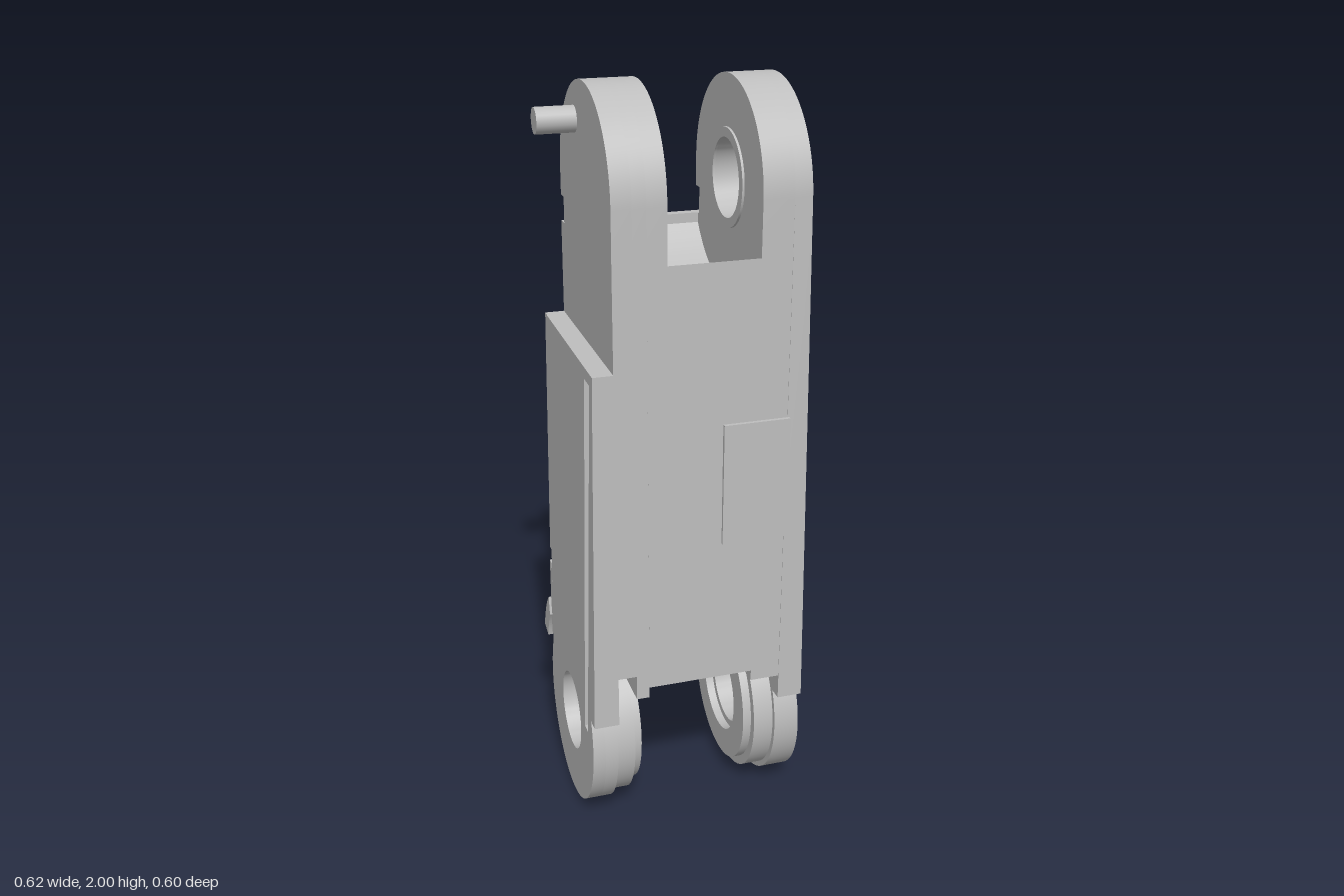
import * as THREE from 'three';
import { toCreasedNormals } from 'three/addons/utils/BufferGeometryUtils.js';

const Z = 0.035, TOP = 1.745, LOW = 0.25; // pivot axes in the side profile

export function createModel() {
  const model = new THREE.Group();
  model.name = 'armLink';
  const grey = new THREE.MeshStandardMaterial({ color: 0xbebebe });
  grey.name = 'light grey';

  const add = (name, geo) => {
    const m = new THREE.Mesh(geo, grey);
    m.name = name;
    model.add(m);
    return m;
  };
  const poly = (pts) => new THREE.Shape(pts.map(([a, b]) => new THREE.Vector2(a, b)));
  const circle = (y, r) => new THREE.Shape().absarc(Z, y, r, 0, Math.PI * 2, false);

  // Side profile (z, y) extruded from x0 to x1; taper leans the outer face inward with height
  const slab = (name, shape, x0, x1, taper = 0) => {
    const geo = new THREE.ExtrudeGeometry(shape, { depth: x1 - x0, bevelEnabled: false, curveSegments: 32 });
    geo.rotateY(-Math.PI / 2).translate(x1, 0, 0);
    if (taper) {
      const p = geo.attributes.position;
      const outer = taper < 0 ? x1 : x0;
      for (let i = 0; i < p.count; i++) {
        if (Math.abs(p.getX(i) - outer) < 1e-4) p.setX(i, p.getX(i) + taper * p.getY(i));
      }
    }
    return add(name, toCreasedNormals(geo, 0.5));
  };
  // Outline (x, y) extruded from z0 to z1
  const panel = (name, pts, z0, z1) => {
    const geo = new THREE.ExtrudeGeometry(poly(pts), { depth: z1 - z0, bevelEnabled: false });
    return add(name, geo.translate(0, 0, z0));
  };

  const slot = () => poly([[0.21, 1.25], [0.255, 1.25], [0.262, 1.32], [0.217, 1.32]]);

  // Body slice: either a lug or a concave saddle on top, and a saddle or flat cut below
  const profile = (lug, bottom, holeRadius) => {
    const s = new THREE.Shape();
    s.moveTo(0.298, bottom ?? 0.46);
    s.lineTo(0.29, 1.607);
    if (lug) {
      s.lineTo(0.29, TOP);
      s.absarc(Z, TOP, 0.255, 0, Math.PI, false);
      s.lineTo(-0.22, 1.67);
      s.lineTo(-0.19, 1.67);
      s.lineTo(-0.19, 1.6);
      s.lineTo(-0.2, 1.6);
    } else {
      s.absarc(Z, TOP, 0.29, -0.5, -2.516, true);
    }
    if (bottom) s.lineTo(-0.2, bottom);
    else s.absarc(Z, LOW, 0.29, 2.516, Math.PI / 4, true);
    s.closePath();
    s.holes.push(slot());
    if (holeRadius) s.holes.push(circle(TOP, holeRadius));
    return s;
  };

  slab('bodyCore', profile(false), -0.08, 0.155);
  slab('leftLugInner', profile(true, null, 0.055), -0.13, -0.08);
  slab('leftLugMiddle', profile(true, 0.43), -0.165, -0.13);
  slab('leftLugOuter', profile(true, 0.5), -0.215, -0.165);
  slab('rightLugInner', profile(true, 0.43, 0.1), 0.155, 0.235);

  // Closed side plate with the upper and lower lug outlines
  const closedSide = new THREE.Shape();
  closedSide.moveTo(0.3, 0.36);
  closedSide.lineTo(0.29, TOP);
  closedSide.absarc(Z, TOP, 0.255, 0, Math.PI, false);
  closedSide.lineTo(-0.22, 1.67);
  closedSide.lineTo(-0.085, 1.67);
  closedSide.lineTo(-0.05, 1.62);
  closedSide.absarc(Z, LOW, 0.25, 1.918, Math.PI * 2 + 0.449, false);
  closedSide.closePath();
  closedSide.holes.push(poly([[0.21, 1.25], [0.255, 1.25], [0.28, 1.62], [0.25, 1.65]]));
  slab('closedSidePlate', closedSide, 0.235, 0.309, -0.0167);

  // Diagonal strip and rear edge beside the recessed channel
  slab('diagonalStrip', poly([[-0.17, 1.62], [-0.2, 1.62], [-0.115, 0.5], [-0.115, 0.27], [-0.085, 0.4], [-0.07, 0.5]]), 0.235, 0.303, -0.0167);
  slab('rearEdge', poly([[-0.2, 1.5], [-0.13, 0.53], [-0.13, 0.23], [-0.2, 0.23]]), 0.235, 0.3, -0.0167);

  // Open side plate: inner layer, then outer layer with a long groove
  const openSide = (hole) => {
    const s = new THREE.Shape();
    s.moveTo(0.3, 0.36);
    s.lineTo(0.293, 1.35);
    s.lineTo(-0.2, 1.35);
    s.absarc(Z, LOW, 0.25, 2.79, Math.PI * 2 + 0.449, false);
    s.closePath();
    s.holes.push(hole, circle(LOW, 0.11));
    return s;
  };
  slab('openSidePlateInner', openSide(slot()), -0.25, -0.215);
  slab('openSidePlateOuter', openSide(poly([[0.265, 1.32], [0.215, 1.32], [0.19, 0.3], [0.225, 0.3]])), -0.288, -0.25, 0.015);

  // Stepped bearing rings on the inner side of the lower lugs
  const ring = (name, y, r, hole, x0, x1) => {
    const s = circle(y, r);
    s.holes.push(circle(y, hole));
    slab(name, s, x0, x1);
  };
  for (const [r, hole, l0, l1, r0, r1] of [
    [0.235, 0.11, -0.215, -0.163, 0.18, 0.235],
    [0.21, 0.13, -0.163, -0.138, 0.157, 0.18],
  ]) {
    ring('lowerRingRight', LOW, r, hole, l0, l1);
    ring('lowerRingLeft', LOW, r, hole, r0, r1);
  }
  ring('upperCollarRight', TOP, 0.085, 0.055, -0.08, -0.074);
  ring('upperCollarLeft', TOP, 0.125, 0.1, 0.149, 0.155);

  // Pin caps and side peg
  const rod = (name, r, y, z, x0, x1) => {
    const geo = new THREE.CylinderGeometry(r, r, x1 - x0, 24).rotateZ(Math.PI / 2);
    add(name, geo).position.set((x0 + x1) / 2, y, z);
  };
  rod('upperPinCap', 0.11, TOP + 0.005, Z, 0.25, 0.293);
  rod('lowerPinCap', 0.11, LOW, Z, 0.27, 0.308);
  rod('sidePeg', 0.033, 1.895, -0.05, -0.315, -0.2);

  // Front access panel
  panel('frontPanel', [[0.065, 0.86], [0.24, 0.86], [0.24, 1.19], [0.065, 1.19]], 0.29, 0.303);

  // Rear cover and the lower rear panel, parted by a narrow gap
  panel('rearCover', [
    [-0.277, 0.64], [0.297, 0.64], [0.281, 1.6], [0.02, 1.6], [0.02, 1.625],
    [-0.045, 1.625], [-0.045, 1.6], [-0.215, 1.6], [-0.215, 1.35], [-0.267, 1.35],
  ], -0.225, -0.199);
  panel('rearLowerPanel', [
    [-0.28, 0.36], [-0.24, 0.36], [-0.24, 0.46], [-0.165, 0.46], [-0.165, 0.36], [0.17, 0.36],
    [0.17, 0.43], [0.22, 0.43], [0.22, 0.36], [0.303, 0.36], [0.299, 0.6], [-0.28, 0.6],
  ], -0.222, -0.199);

  // Rear latch: a curved lip on a narrower foot
  const lip = new THREE.Shape();
  lip.moveTo(-0.225, 0.475);
  lip.quadraticCurveTo(-0.275, 0.425, -0.296, 0.345);
  lip.lineTo(-0.25, 0.332);
  lip.quadraticCurveTo(-0.24, 0.38, -0.215, 0.42);
  lip.closePath();
  slab('latchLip', lip, -0.287, -0.135);
  slab('latchFoot', poly([[-0.2, 0.43], [-0.225, 0.43], [-0.255, 0.335], [-0.21, 0.32]]), -0.235, -0.145);

  return model;
}
